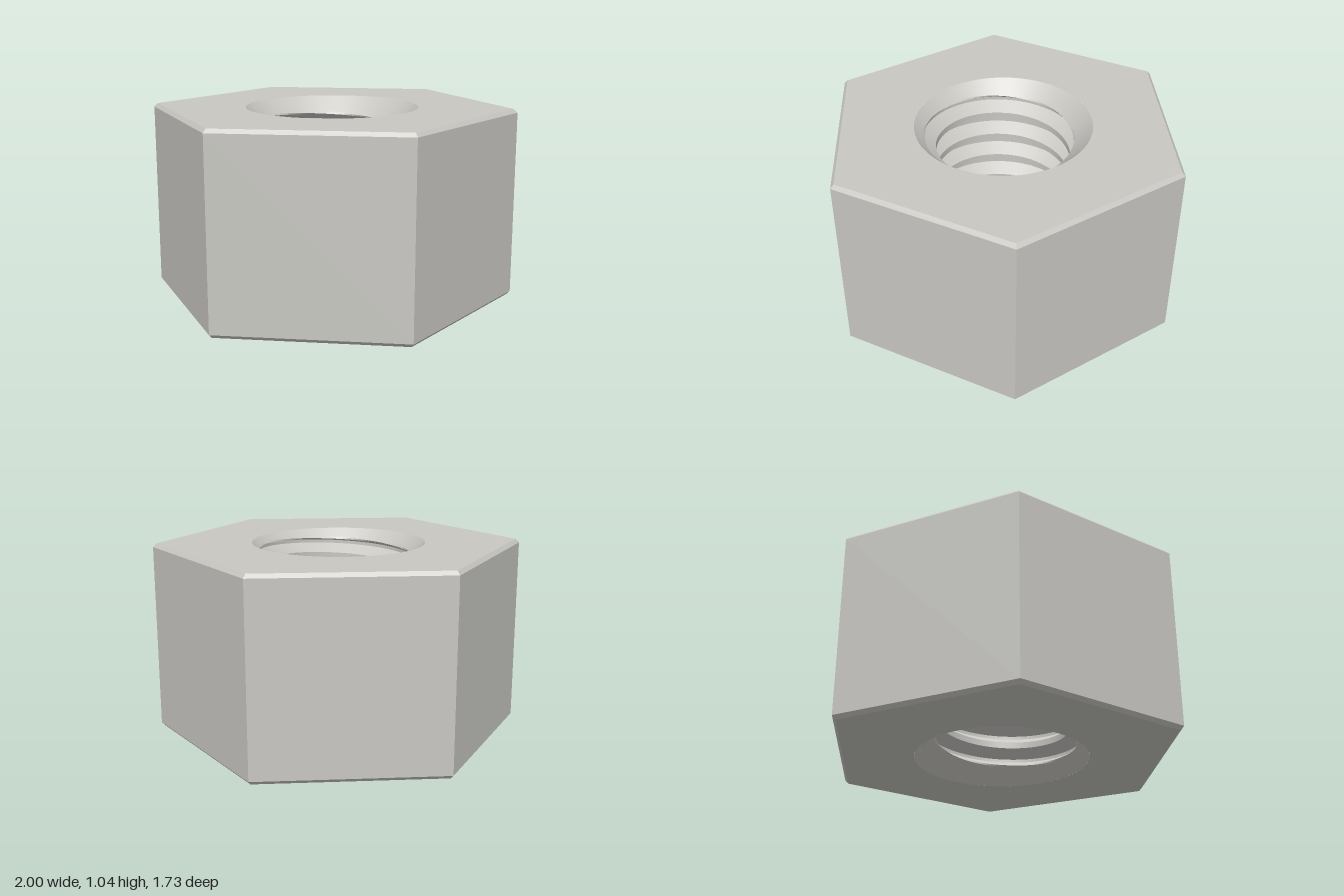
import * as THREE from 'three';
import { toCreasedNormals } from 'three/addons/utils/BufferGeometryUtils.js';

const HEIGHT = 1.04, BEVEL = 0.02;
const BORE = 0.36, ROOT = 0.43, MOUTH = 0.47; // crest, groove and countersink radii
const PITCH = 0.143, STEPS = 16, SEGMENTS = 72;

// Thread radius at fraction u of a pitch, measured from the crest centre
function threadRadius(u) {
  const d = Math.abs(u - Math.floor(u) - 0.5); // 0 at groove, 0.5 at crest
  const t = THREE.MathUtils.clamp((d - 1 / 16) / (3 / 8 - 1 / 16), 0, 1);
  return THREE.MathUtils.lerp(ROOT, BORE, t);
}

// Right-handed helical bore; rows follow the thread and stop at both countersunk ends
function threadGeometry() {
  const start = 0.93 - 9 * PITCH; // a crest height at angle 0
  const rows = 11 * STEPS;
  const positions = [], index = [], ends = [];
  for (let j = 0; j <= rows; j++) {
    for (let i = 0; i <= SEGMENTS; i++) {
      const f = i / SEGMENTS, a = f * Math.PI * 2;
      const y = THREE.MathUtils.clamp(start + PITCH * (j / STEPS + f - 1), 0, HEIGHT);
      const r = Math.max(threadRadius(j / STEPS), MOUTH - y, MOUTH - (HEIGHT - y));
      positions.push(r * Math.cos(a), y, -r * Math.sin(a));
      ends.push(y === 0 ? -1 : y === HEIGHT ? 1 : 0);
    }
  }
  const addFace = (a, b, c) => {
    if (Math.abs(ends[a] + ends[b] + ends[c]) < 3) index.push(a, b, c);
  };
  const w = SEGMENTS + 1;
  for (let j = 0; j < rows; j++) {
    for (let i = 0; i < SEGMENTS; i++) {
      const p = j * w + i;
      addFace(p, p + w, p + 1);
      addFace(p + 1, p + w, p + w + 1);
    }
  }
  const g = new THREE.BufferGeometry();
  g.setAttribute('position', new THREE.Float32BufferAttribute(positions, 3));
  g.setIndex(index);
  return toCreasedNormals(g, 0.4);
}

// Hexagonal end face with the round mouth cut out
function faceGeometry() {
  const shape = new THREE.Shape();
  for (let k = 0; k < 6; k++) {
    const a = (k * Math.PI) / 3, r = 1 - BEVEL;
    shape[k ? 'lineTo' : 'moveTo'](r * Math.cos(a), r * Math.sin(a));
  }
  shape.closePath();
  shape.holes.push(new THREE.Path().absarc(0, 0, MOUTH, 0, Math.PI * 2, true));
  return new THREE.ShapeGeometry(shape, SEGMENTS);
}

export function createModel() {
  const group = new THREE.Group();
  group.name = 'hexNut';
  const steel = new THREE.MeshStandardMaterial({ color: 0xc8c7c2 });
  steel.name = 'steel';
  const add = (name, geometry) => {
    const mesh = new THREE.Mesh(geometry, steel);
    mesh.name = name;
    group.add(mesh);
    return mesh;
  };

  // Six flat sides with chamfered upper and lower edges
  const profile = [
    [1 - BEVEL, 0], [1, BEVEL], [1, HEIGHT - BEVEL], [1 - BEVEL, HEIGHT],
  ].map(([x, y]) => new THREE.Vector2(x, y));
  const sides = new THREE.LatheGeometry(profile, 6, Math.PI / 6).toNonIndexed();
  sides.computeVertexNormals();
  add('hexSides', sides);

  // End faces
  const top = add('topFace', faceGeometry());
  top.rotation.x = -Math.PI / 2;
  top.position.y = HEIGHT;
  add('bottomFace', faceGeometry()).rotation.x = Math.PI / 2;

  // Threaded hole
  add('threadedBore', threadGeometry());
  return group;
}
